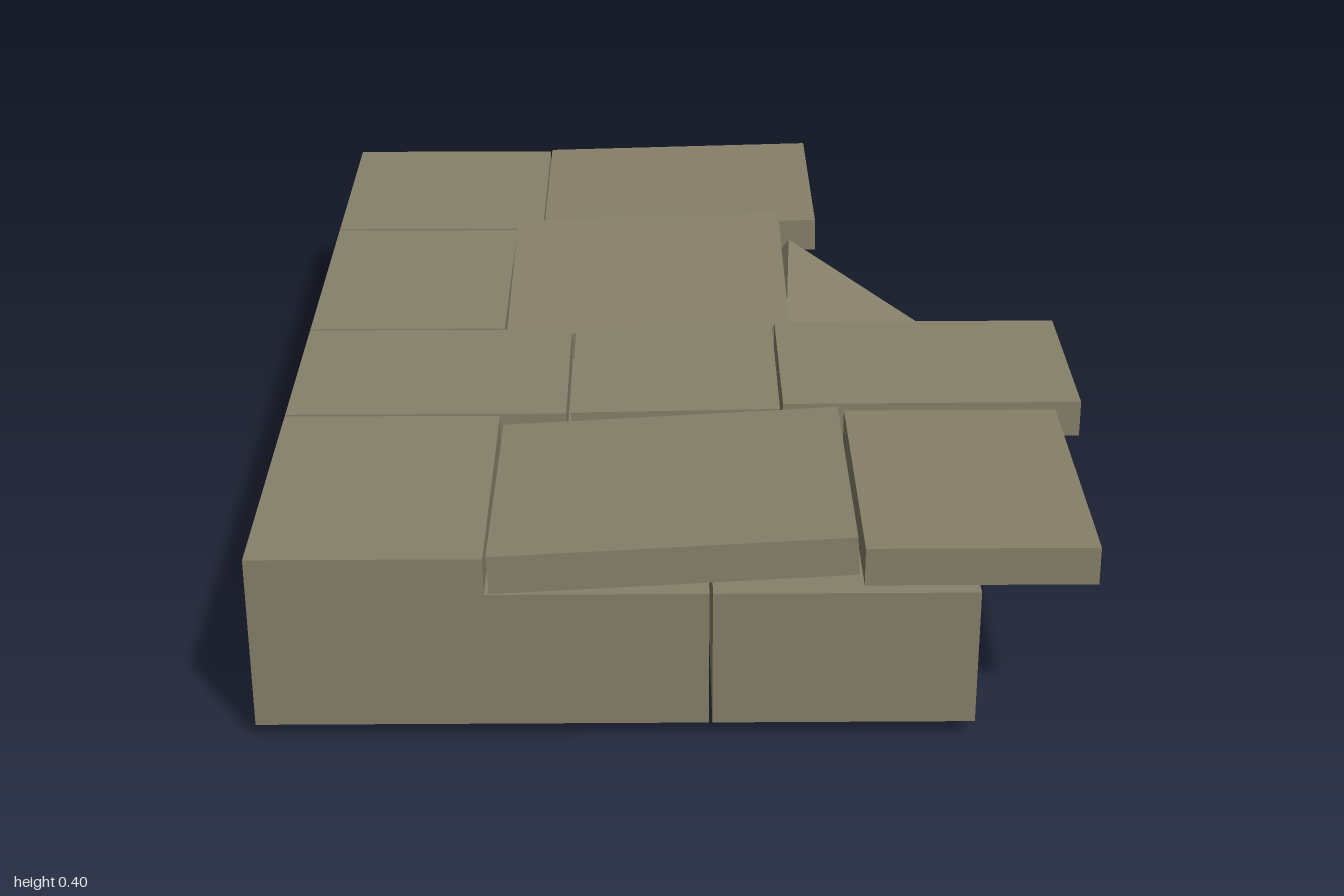
import * as THREE from 'three';

export function createModel() {
  const group = new THREE.Group();
  const stone = new THREE.MeshStandardMaterial({ color: 0x87816a });
  stone.name = 'weathered stone';

  // Box given by its x, y and z ranges, tilted about its centre
  function slab(name, [x0, x1], [y0, y1], [z0, z1], pitch = 0, roll = 0) {
    const mesh = new THREE.Mesh(new THREE.BoxGeometry(x1 - x0, y1 - y0, z1 - z0), stone);
    mesh.name = name;
    mesh.position.set((x0 + x1) / 2, (y0 + y1) / 2, (z0 + z1) / 2);
    mesh.rotation.set(pitch, 0, roll, 'ZYX');
    group.add(mesh);
    return mesh;
  }

  // Foundation blocks
  slab('longBase', [-0.75, 0.037], [0.03, 0.287], [-1, 1]);
  slab('shortBase', [0.043, 0.5], [0.03, 0.287], [0.175, 1]);

  // Paving rows from back to front: [x0, x1, bottom, pitch, roll]
  const rows = [
    { z: [-1, -0.502], tiles: [[-0.75, -0.302, 0.286, 0, 0], [-0.298, 0.3, 0.297, 0, 0.025]] },
    { z: [-0.494, 0.042], tiles: [[-0.75, -0.358, 0.286, 0, 0], [-0.354, 0.218, 0.299, 0.068, 0.035]] },
    { z: [0.048, 0.438], tiles: [[-0.75, -0.222, 0.286, 0, 0], [-0.213, 0.181, 0.291, 0, 0.015], [0.186, 0.747, 0.303, -0.01, 0.003]] },
    { z: [0.446, 1], tiles: [[-0.75, -0.346, 0.286, 0, 0], [-0.339, 0.29, 0.295, -0.04, 0.055], [0.3, 0.698, 0.298, -0.015, 0]] },
  ];
  rows.forEach(({ z, tiles }, r) => tiles.forEach(([x0, x1, bottom, pitch, roll], i) =>
    slab(`pavingTile${r + 1}_${i + 1}`, [x0, x1], [bottom, bottom + 0.07], z, pitch, roll)));

  // Tile that has slipped off the edge
  const fallen = slab('fallenTile', [-0.235, 0.235], [-0.034, 0.034], [-0.216, 0.216], 0.1, -0.602);
  fallen.position.set(0.4, 0.179, -0.217);

  return group;
}
